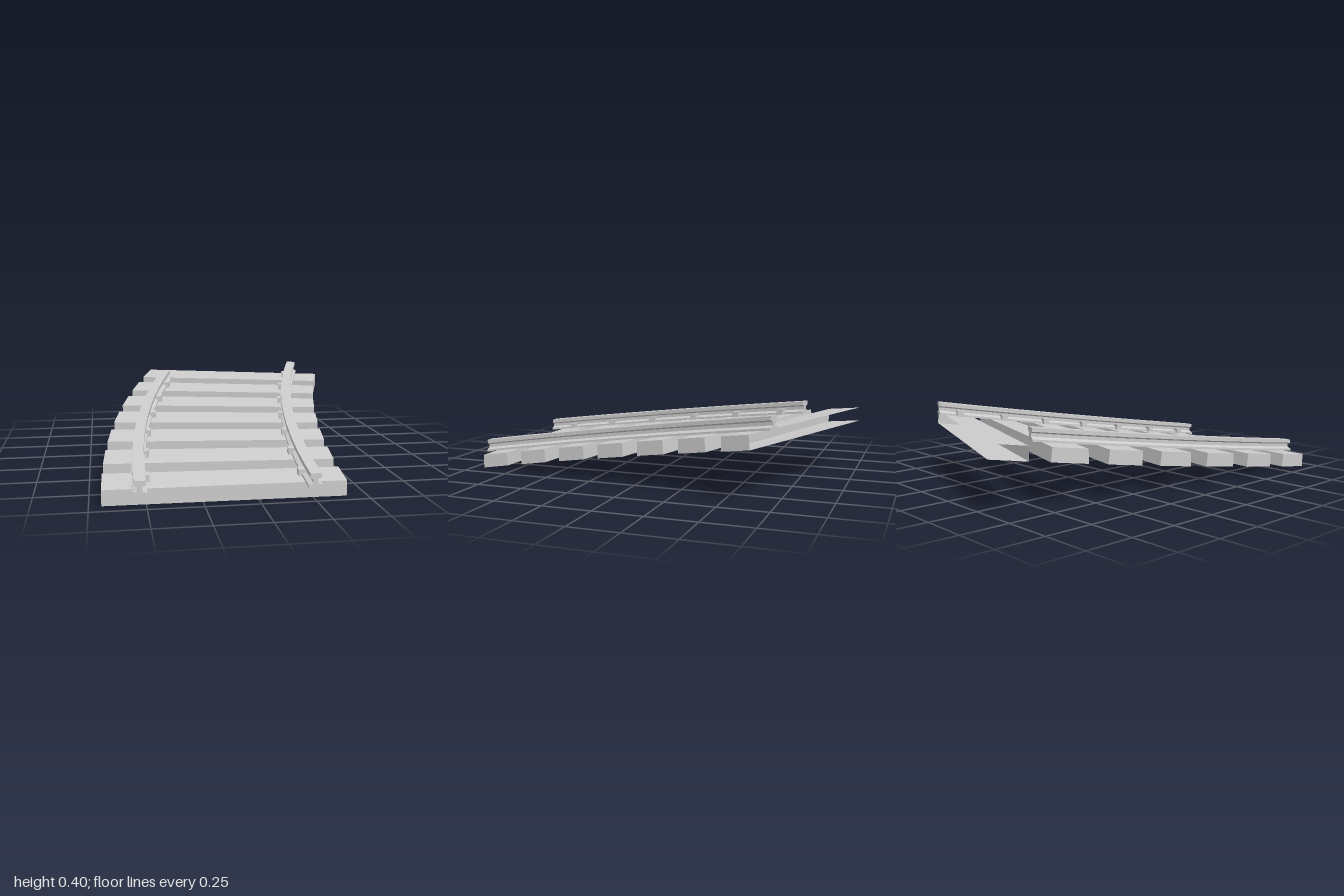
import * as THREE from 'three';

const CENTRE = 5.3;      // x of the curve's centre, level with the front end (z = 1)
const CLIMB = 0.0137;    // rise per degree along the curve
const TIES = 7, PITCH = 2.83, FIRST = 1.59;

const grey = new THREE.MeshStandardMaterial({ color: 0xcccccc, flatShading: true });
const greyOpen = new THREE.MeshStandardMaterial({ color: 0xcccccc, flatShading: true, side: THREE.DoubleSide });

// Wraps a straight piece (x across, y up, -z in degrees along) onto the climbing curve.
function bend(geometry) {
  const p = geometry.attributes.position;
  for (let i = 0; i < p.count; i++) {
    const deg = -p.getZ(i), a = THREE.MathUtils.degToRad(deg), r = CENTRE - p.getX(i);
    p.setXYZ(i, CENTRE - r * Math.cos(a), p.getY(i) + CLIMB * deg, 1 - r * Math.sin(a));
  }
  geometry.computeVertexNormals();
  return geometry;
}

function part(name, geometry, material = grey) {
  const mesh = new THREE.Mesh(bend(geometry), material);
  mesh.name = name;
  return mesh;
}

// Wooden cross beam; the open one has no back face and no right end.
function tie(deg, open) {
  const g = new THREE.BoxGeometry(1.1, 0.072, 1.75);
  const p = g.attributes.position;
  for (let i = 0; i < p.count; i++) {
    // the lower back edge reaches slightly further back
    if (p.getY(i) < 0 && p.getZ(i) < 0) p.setZ(i, p.getZ(i) - 0.08);
  }
  if (open) {
    const index = Array.from(g.index.array);
    g.setIndex(index.filter((_, i) => !(i >= 6 && i < 12) && i < 30));
  }
  g.translate(-0.145, 0.026, -deg);
  return part(open ? 'openTie' : 'tie', g, open ? greyOpen : grey);
}

// I-section rail running from the front end.
function rail(name, x, degrees) {
  const half = [[0.032, 0.062], [0.032, 0.073], [0.011, 0.083], [0.011, 0.100], [0.026, 0.108], [0.026, 0.128]];
  const outline = [...half, ...half.map(([a, b]) => [-a, b]).reverse()];
  const shape = new THREE.Shape(outline.map(([a, b]) => new THREE.Vector2(x + a, b)));
  const g = new THREE.ExtrudeGeometry(shape, { depth: degrees, steps: 14, bevelEnabled: false });
  g.translate(0, 0, -degrees);
  return part(name, g);
}

// Small block clamping the rail's foot to a tie.
function clamp(x, deg) {
  const g = new THREE.BoxGeometry(0.034, 0.034, 0.38);
  g.translate(x, 0.077, -deg);
  return part('railClamp', g);
}

export function createModel() {
  const model = new THREE.Group();
  model.name = 'curvedTrack';

  const rails = [
    { name: 'rightRail', x: -0.53, end: 17.06, inner: 1 },
    { name: 'leftRail', x: 0.243, end: 19.8, inner: -1 },
  ];
  for (const { name, x, end } of rails) model.add(rail(name, x, end));

  for (let i = 0; i < TIES; i++) {
    const deg = FIRST + i * PITCH;
    model.add(tie(deg, i === TIES - 1));
    // clamps sit on the inner side, only where the rail reaches the tie
    for (const { x, end, inner } of rails) {
      if (deg < end) model.add(clamp(x + inner * 0.032, deg));
    }
  }
  return model;
}
